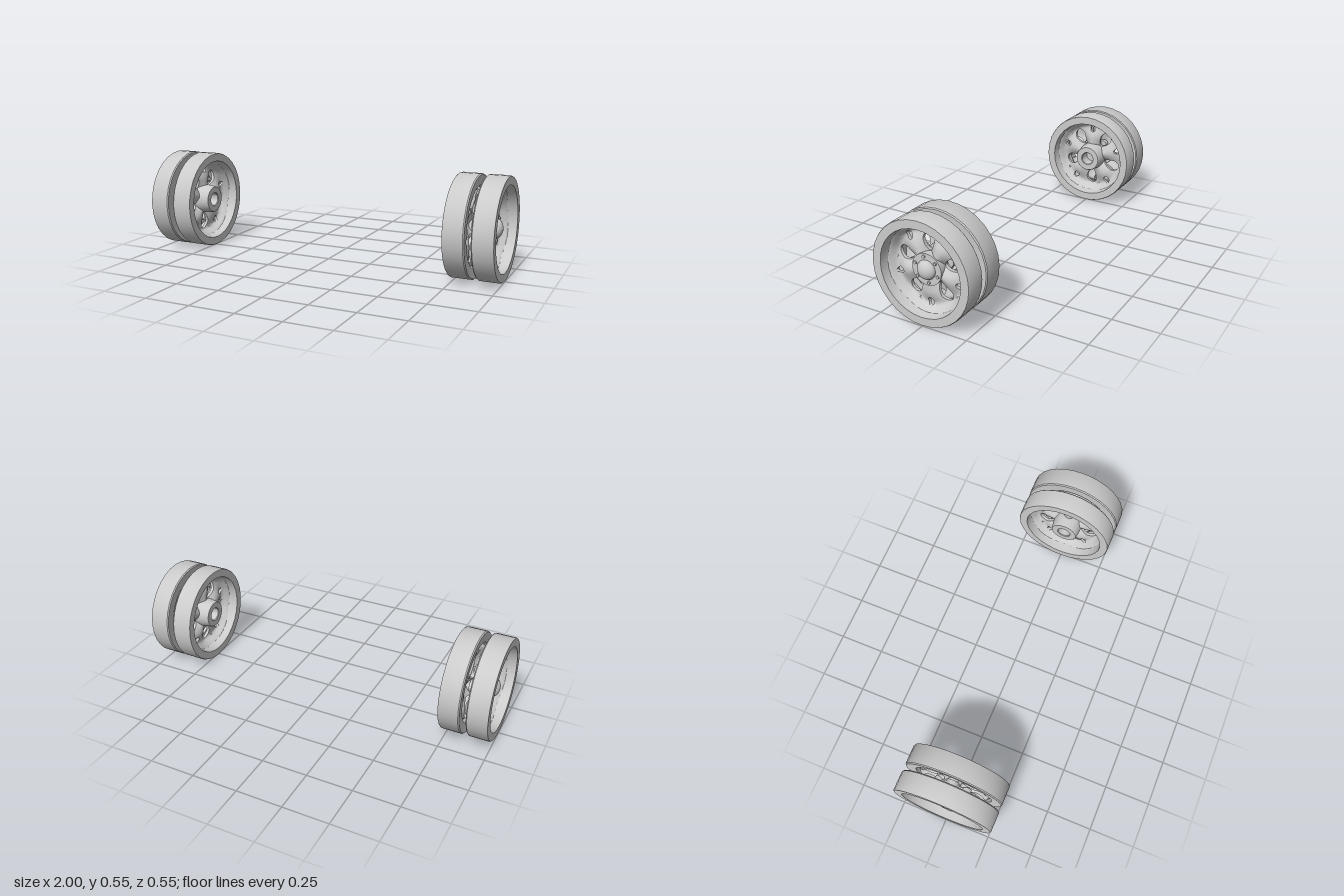
import * as THREE from 'three';
import { mergeVertices, mergeGeometries, toCreasedNormals } from 'three/addons/utils/BufferGeometryUtils.js';

const RADIUS = 0.275, WIDTH = 0.113;
const HUB_R = 0.07, DISC_R = 0.224, HALF = Math.PI / 10; // ten 36 degree sectors
const grey = new THREE.MeshStandardMaterial({ color: 0xcccccc, side: THREE.DoubleSide });

function part(name, geometry) {
  const mesh = new THREE.Mesh(geometry, grey);
  mesh.name = name;
  return mesh;
}

// Solid of revolution around the wheel axis (local z); points are [radius, z]
function turned(points, sides) {
  const g = new THREE.LatheGeometry(points.map(p => new THREE.Vector2(p[0], p[1])), sides);
  return toCreasedNormals(g.rotateX(Math.PI / 2), 0.5);
}

// Front height of the cast disc: five raised spokes fading into a concave bowl
function discHeight(r, angle) {
  const spoke = Math.pow(0.5 - 0.5 * Math.cos(5 * (angle - Math.PI / 2)), 0.7);
  const fade = 1 - 0.75 * THREE.MathUtils.smoothstep(r, 0.12, 0.21);
  const bowl = 0.045 * THREE.MathUtils.smoothstep(r, 0.185, 0.228);
  return 0.016 + 0.034 * spoke * fade + bowl;
}

// One sector of the disc, wrapped from front to back through its window
function discSector(mid, large) {
  const side = 12, count = side * 4, steps = 7;
  const [center, outer, inner, half, taper] = large
    ? [0.148, 0.037, 0.063, 0.034, 0.4]
    : [0.179, 0.023, 0.021, 0.016, 0];
  const positions = [], index = [];
  const rows = [];
  for (let s = steps; s >= 0; s--) rows.push([s / steps, true]);
  for (let s = 0; s <= steps; s++) rows.push([s / steps, false]);
  const corners = [[HUB_R, -HALF], [DISC_R, -HALF], [DISC_R, HALF], [HUB_R, HALF]];
  rows.forEach(([s, front], j) => {
    for (let i = 0; i < count; i++) {
      // matching points on the sector border and on the window outline
      const k = Math.floor(i / side), f = (i % side) / side;
      const a = corners[k], b = corners[(k + 1) % 4];
      const br = a[0] + (b[0] - a[0]) * f, bt = a[1] + (b[1] - a[1]) * f;
      const dr = br - center;
      const phi = Math.atan2(bt / HALF, dr / (dr > 0 ? DISC_R - center : center - HUB_R));
      const c = Math.cos(phi);
      const hr = center + c * (c > 0 ? outer : inner);
      const ht = Math.sin(phi) * half * (1 + taper * Math.min(c, 0)) / hr;
      const r = hr + (br - hr) * s, t = mid + ht + (bt - ht) * s;
      const z = discHeight(r, t);
      positions.push(r * Math.cos(t), r * Math.sin(t), front ? z : Math.max(z - 0.018, 0));
      if (j < rows.length - 1) {
        const n = (i + 1) % count, p = j * count, q = p + count;
        index.push(p + i, p + n, q + n, p + i, q + n, q + i);
      }
    }
  });
  const g = new THREE.BufferGeometry();
  g.setAttribute('position', new THREE.Float32BufferAttribute(positions, 3));
  g.setIndex(index);
  return g;
}

function spokedDisc() {
  const sectors = [];
  for (let i = 0; i < 10; i++) sectors.push(discSector(Math.PI / 2 + i * 2 * HALF, i % 2 === 0));
  return toCreasedNormals(mergeVertices(mergeGeometries(sectors), 1e-5), 0.8);
}

// Five-lobed boss where the two wheels of a pair meet
function lobedBoss() {
  const shape = new THREE.Shape();
  for (let i = 0; i <= 80; i++) {
    const t = i / 80 * Math.PI * 2;
    const r = 0.09 - 0.016 * Math.cos(5 * (t - Math.PI / 2));
    shape[i ? 'lineTo' : 'moveTo'](r * Math.cos(t), r * Math.sin(t));
  }
  const g = new THREE.ExtrudeGeometry(shape, { depth: 0.03, bevelEnabled: false });
  return toCreasedNormals(g.translate(0, 0, -0.0175), 0.5);
}

const rimProfile = [
  [0.216, 0.004], [0.27, 0], [0.275, 0.006], [0.275, WIDTH - 0.006], [0.272, WIDTH],
  [0.228, WIDTH], [0.222, 0.06], [0.216, 0.04], [0.216, 0.004],
];

// A single wheel, its axis along local z with the open bowl towards +z
function makeWheel(name, disc, boss) {
  const wheel = new THREE.Group();
  wheel.name = name;
  wheel.add(part('rim', turned(rimProfile, 32)), part('spokedDisc', disc), part('matingBoss', boss));
  return wheel;
}

// Flange with domed cap and six bolts
function addCap(wheel) {
  wheel.add(part('hubFlange', turned([[0, 0], [0.08, 0], [0.083, 0.02], [0.083, 0.056], [0, 0.056]], 40)));
  const dome = new THREE.SphereGeometry(0.05, 32, 10, 0, Math.PI * 2, 0, Math.PI / 2);
  dome.scale(1, 0.7, 1).rotateX(Math.PI / 2).translate(0, 0, 0.056);
  wheel.add(part('hubCap', dome));
  for (let i = 0; i < 6; i++) {
    const t = THREE.MathUtils.degToRad(100 + 60 * i);
    const bolt = part('bolt', toCreasedNormals(new THREE.CylinderGeometry(0.0085, 0.0085, 0.008, 6), 0.5));
    bolt.rotation.x = Math.PI / 2;
    bolt.position.set(0.067 * Math.cos(t), 0.067 * Math.sin(t), 0.059);
    wheel.add(bolt);
  }
}

// Hollow hub on the axle side
function addSocket(wheel) {
  wheel.add(part('hubSocket', turned([
    [0, 0], [0.083, 0], [0.083, 0.05], [0.076, 0.1], [0.073, 0.104],
    [0.04, 0.104], [0.037, 0.1], [0.037, 0.035], [0, 0.035],
  ], 40)));
}

export function createModel() {
  const model = new THREE.Group();
  model.name = 'twinWheels';
  const disc = spokedDisc(), boss = lobedBoss();
  for (const side of ['left', 'right']) {
    const pair = new THREE.Group();
    pair.name = side + 'WheelPair';

    const outer = makeWheel('outerWheel', disc, boss);
    addCap(outer);
    outer.rotation.y = Math.PI / 2;
    outer.position.x = 1 - WIDTH;

    // the inner wheel faces the axle and is turned half round
    const inner = makeWheel('innerWheel', disc, boss);
    addSocket(inner);
    inner.rotation.y = -Math.PI / 2;
    inner.rotateZ(Math.PI);
    inner.position.x = 0.74 + WIDTH;

    pair.add(outer, inner);
    pair.position.y = RADIUS;
    if (side === 'right') pair.rotation.y = Math.PI;
    model.add(pair);
  }
  return model;
}
